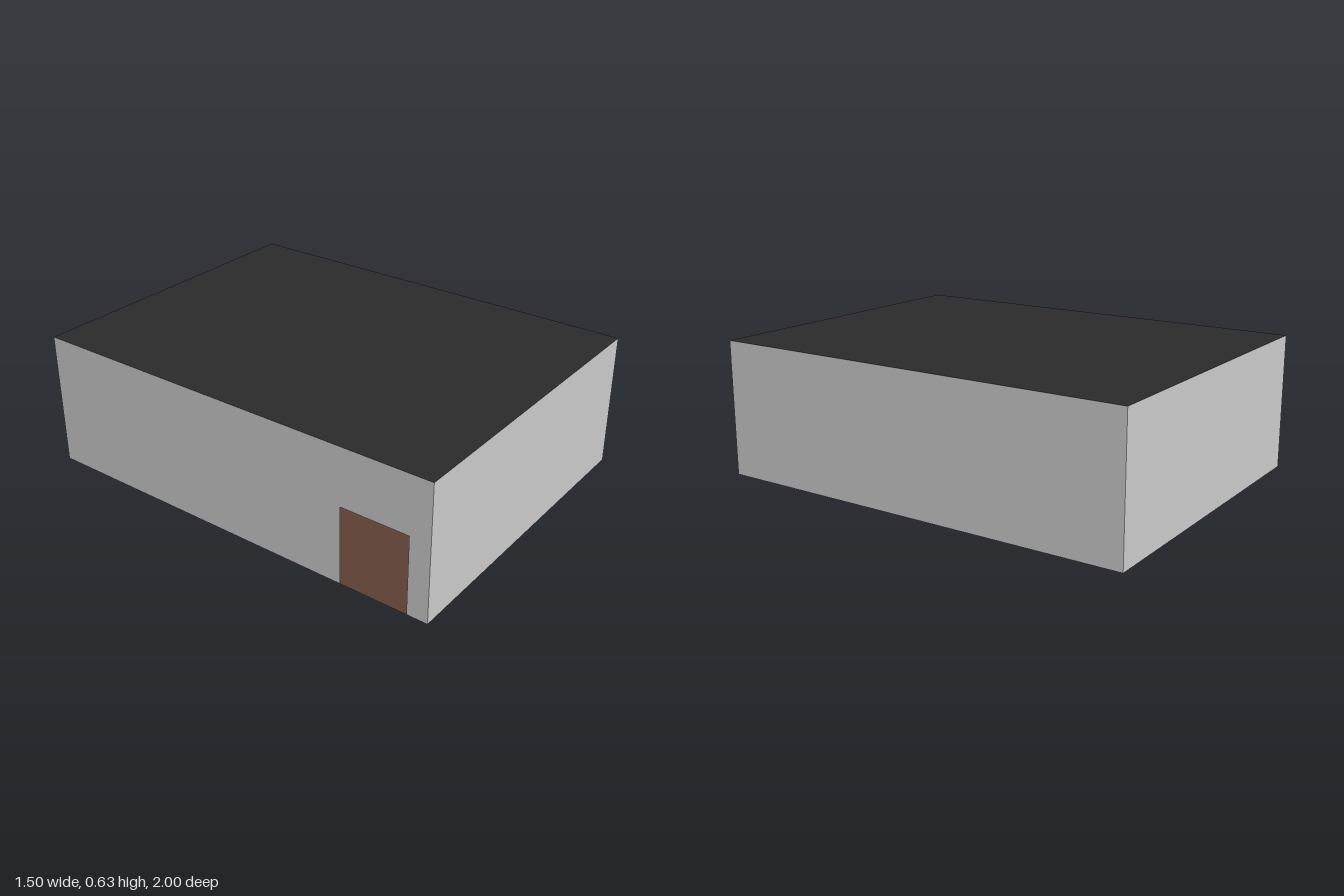
import * as THREE from 'three';

const W = 1.5, D = 2, H = 0.625;

const paint = (color) => new THREE.MeshStandardMaterial({ color, side: THREE.DoubleSide });

export function createModel() {
  const room = new THREE.Group();
  room.name = 'room';
  const wallMat = paint(0xcccccc);
  const roofMat = paint(0x2b2b2b);
  const floorMat = paint(0x5c4033);
  const darkMat = paint(0x1c1614);

  const add = (name, geometry, material, x, y, z, parent = room) => {
    const mesh = new THREE.Mesh(geometry, material);
    mesh.name = name;
    mesh.position.set(x, y, z);
    parent.add(mesh);
    return mesh;
  };

  // floor and flat roof
  add('floor', new THREE.PlaneGeometry(W, D).rotateX(-Math.PI / 2), floorMat, 0, 0, 0);
  add('roof', new THREE.PlaneGeometry(W, D).rotateX(-Math.PI / 2), roofMat, 0, H, 0);

  // plain thin walls
  add('frontWall', new THREE.PlaneGeometry(W, H), wallMat, 0, H / 2, D / 2);
  add('backWall', new THREE.PlaneGeometry(W, H).rotateY(Math.PI), wallMat, 0, H / 2, -D / 2);
  add('leftWall', new THREE.PlaneGeometry(D, H).rotateY(Math.PI / 2), wallMat, W / 2, H / 2, 0);

  // wall with the doorway notched out, drawn as (z, y)
  const doorFrom = 0.59, doorTo = 0.905, doorTop = 0.36;
  const outline = new THREE.Shape([
    [-D / 2, 0], [doorFrom, 0], [doorFrom, doorTop], [doorTo, doorTop],
    [doorTo, 0], [D / 2, 0], [D / 2, H], [-D / 2, H],
  ].map(([z, y]) => new THREE.Vector2(z, y)));
  add('doorwayWall', new THREE.ShapeGeometry(outline).rotateY(-Math.PI / 2), wallMat, -W / 2, 0, 0);

  // low counter on a post and two curved end supports, set just into the floor
  const counter = new THREE.Group();
  counter.name = 'counter';
  counter.position.set(0, 0, -0.63);
  room.add(counter);
  const legH = 0.16, sink = 0.002, legY = legH / 2 - sink;
  add('counterTop', new THREE.BoxGeometry(0.86, 0.015, 0.14), darkMat, 0, legH, 0, counter);
  add('counterPost', new THREE.CylinderGeometry(0.014, 0.014, legH, 12), darkMat, 0, legY, -0.02, counter);
  for (const side of [1, -1]) {
    const arc = new THREE.CylinderGeometry(0.09, 0.09, legH, 8, 1, true, side * Math.PI / 2 - 0.6, 1.2);
    add(side > 0 ? 'leftSupport' : 'rightSupport', arc, darkMat, side * 0.31, legY, 0, counter);
  }
  return room;
}
